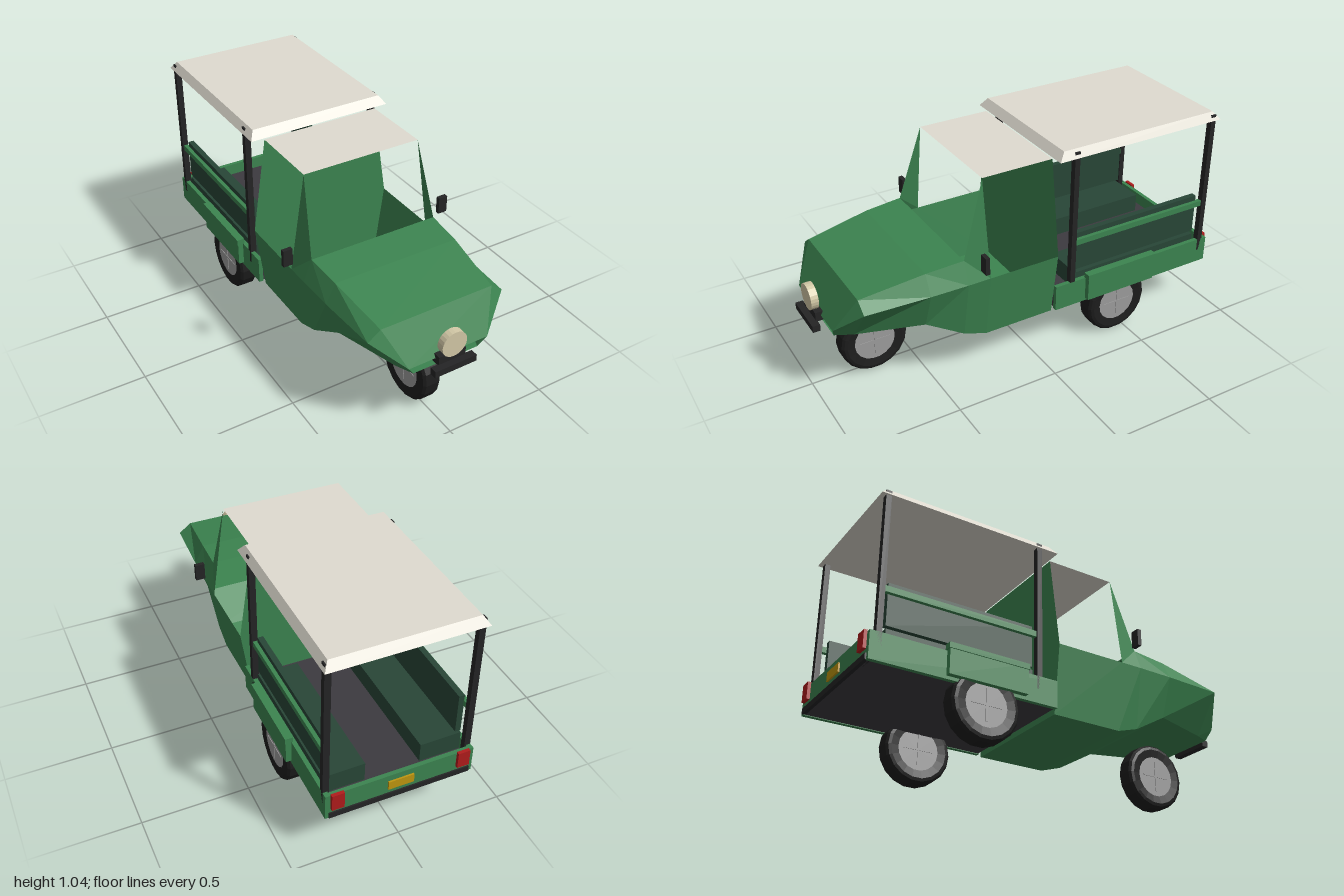
import * as THREE from 'three';

const mat = (name, color) => {
  const m = new THREE.MeshStandardMaterial({ color, flatShading: true, side: THREE.DoubleSide });
  m.name = name;
  return m;
};

export function createModel() {
  const green = mat('bodyGreen', 0x3c8450), darkGreen = mat('seatGreen', 0x284637);
  const cream = mat('roofCream', 0xdfdbd0), lamp = mat('lampCream', 0xd2c8a6);
  const black = mat('trimBlack', 0x242425), tyreMat = mat('tyreBlack', 0x1d1d1d);
  const hubMat = mat('hubGrey', 0x9c9c9c), floorMat = mat('floorGrey', 0x3c3a3f);
  const red = mat('lightRed', 0xb01c1c), yellow = mat('plateYellow', 0xbf960f);

  const model = new THREE.Group();
  model.name = 'threeWheeler';
  const add = (name, geo, m, parent = model) => {
    const mesh = new THREE.Mesh(geo, m);
    mesh.name = name;
    parent.add(mesh);
    return mesh;
  };
  // Box given by its limits on each axis
  const box = (name, m, x0, x1, y0, y1, z0, z1) => {
    const b = add(name, new THREE.BoxGeometry(x1 - x0, y1 - y0, z1 - z0), m);
    b.position.set((x0 + x1) / 2, (y0 + y1) / 2, (z0 + z1) / 2);
    return b;
  };
  const boxPair = (name, m, x0, x1, ...rest) => {
    box(name + 'Left', m, x0, x1, ...rest);
    box(name + 'Right', m, -x1, -x0, ...rest);
  };
  // Flat faceted surface from polygons
  const surface = (polys) => {
    const p = [];
    for (const poly of polys)
      for (let i = 1; i < poly.length - 1; i++) p.push(...poly[0], ...poly[i], ...poly[i + 1]);
    const g = new THREE.BufferGeometry();
    g.setAttribute('position', new THREE.Float32BufferAttribute(p, 3));
    g.computeVertexNormals();
    return g;
  };
  const flip = ([x, y, z]) => [-x, y, z];
  // Skin over stations of two points [outer, inner], mirrored across x
  const loft = (stations) => {
    const rows = stations.map(([a, b]) => [a, b, flip(b), flip(a)]);
    const polys = [];
    for (let i = 0; i < rows.length - 1; i++)
      for (let j = 0; j < 3; j++)
        polys.push([rows[i][j], rows[i + 1][j], rows[i + 1][j + 1], rows[i][j + 1]]);
    return surface(polys);
  };

  // Cab: open tub below the belt line, hood above it
  add('cabTub', loft([
    [[0.36, 0.54, -0.09], [0.315, 0.215, -0.09]],
    [[0.36, 0.54, 0.26], [0.315, 0.215, 0.26]],
    [[0.36, 0.54, 0.37], [0.31, 0.25, 0.37]],
    [[0.356, 0.54, 0.55], [0.29, 0.355, 0.55]],
    [[0.34, 0.54, 0.85], [0.2, 0.357, 0.85]],
    [[0.2, 0.41, 0.945], [0.165, 0.36, 0.93]],
  ]), green);
  add('hood', loft([
    [[0.36, 0.54, 0.37], [0.32, 0.645, 0.37]],
    [[0.356, 0.54, 0.55], [0.31, 0.632, 0.55]],
    [[0.34, 0.54, 0.85], [0.28, 0.585, 0.85]],
    [[0.2, 0.41, 0.945], [0.2, 0.41, 0.945]],
  ]), green);

  // Windscreen pillars, cab back wall and thin cab roof
  const pillar = [[0.36, 0.54, 0.26], [0.36, 0.54, 0.37], [0.32, 0.645, 0.37], [0.29, 1.003, 0.26]];
  add('windscreenPillars', surface([pillar, pillar.map(flip)]), green);
  const wall = [[0.315, 0.215, -0.09], [0.36, 0.54, -0.09], [0.29, 1.003, -0.09]];
  add('cabBackWall', surface([[...wall, ...wall.map(flip).reverse()]]), green);
  add('cabRoof', surface([[[-0.29, 1.003, 0.26], [0.29, 1.003, 0.26],
    [0.29, 1.003, -0.09], [-0.29, 1.003, -0.09]]]), cream);

  // Headlight, front bumper and mirrors
  const head = add('headlight', new THREE.CylinderGeometry(0.062, 0.062, 0.035, 24), lamp);
  head.rotation.x = Math.PI / 2;
  head.position.set(0, 0.48, 0.962);
  box('frontBumper', black, -0.105, 0.105, 0.36, 0.392, 0.965, 1);
  box('bumperBracket', black, -0.068, 0.068, 0.385, 0.43, 0.92, 0.97);
  boxPair('mirror', black, 0.385, 0.43, 0.615, 0.697, 0.303, 0.323);

  // Rear bed
  box('bedFloor', floorMat, -0.34, 0.34, 0.235, 0.3, -0.975, -0.1);
  boxPair('bedSide', green, 0.325, 0.346, 0.232, 0.36, -0.985, -0.095);
  box('tailboard', green, -0.326, 0.326, 0.25, 0.36, -0.985, -0.965);
  box('rearBumper', black, -0.33, 0.33, 0.235, 0.262, -0.992, -0.965);
  boxPair('fender', green, 0.34, 0.372, 0.247, 0.387, -0.64, -0.26);
  boxPair('fenderLip', green, 0.34, 0.377, 0.362, 0.388, -0.645, -0.255);
  boxPair('tailLight', red, 0.265, 0.322, 0.285, 0.367, -1, -0.984);
  box('numberPlate', yellow, -0.06, 0.06, 0.287, 0.33, -0.993, -0.984);

  // Benches with backrests and rails
  boxPair('bench', darkGreen, 0.13, 0.325, 0.298, 0.393, -0.91, -0.21);
  boxPair('backrest', darkGreen, 0.295, 0.322, 0.408, 0.606, -0.91, -0.21);
  boxPair('sideRail', green, 0.318, 0.34, 0.552, 0.58, -0.935, -0.19);

  // Canopy posts and tapered canopy
  for (const z of [-0.185, -0.945])
    boxPair(z > -0.5 ? 'frontPost' : 'rearPost', black, 0.317, 0.346, 0.3, 1.034, z - 0.013, z + 0.013);
  const canopyGeo = new THREE.BoxGeometry(0.71, 0.038, 0.89);
  const pos = canopyGeo.attributes.position;
  for (let i = 0; i < pos.count; i++)
    if (pos.getY(i) > 0) {
      pos.setX(i, Math.sign(pos.getX(i)) * 0.33);
      pos.setZ(i, Math.sign(pos.getZ(i)) * 0.413);
    }
  canopyGeo.computeVertexNormals();
  add('canopy', canopyGeo, cream).position.set(0, 1.028, -0.535);

  // Wheels: chamfered tyre, hub disc and crossed spokes
  const profile = [[0.1, -0.042], [0.138, -0.048], [0.152, -0.044], [0.162, -0.033],
    [0.162, 0.033], [0.152, 0.044], [0.138, 0.048], [0.1, 0.042]].map(([r, h]) => new THREE.Vector2(r, h));
  const wheel = (name, x, z) => {
    const g = new THREE.Group();
    g.name = name;
    add('tyre', new THREE.LatheGeometry(profile, 18), tyreMat, g);
    add('hub', new THREE.CylinderGeometry(0.102, 0.102, 0.084, 18), hubMat, g);
    for (const a of [0, Math.PI / 2])
      add('spoke', new THREE.BoxGeometry(0.15, 0.09, 0.008), hubMat, g).rotation.y = a;
    g.rotation.z = Math.PI / 2;
    g.position.set(x, 0.162, z);
    model.add(g);
  };
  wheel('frontWheel', 0, 0.695);
  wheel('rearWheelLeft', 0.306, -0.45);
  wheel('rearWheelRight', -0.306, -0.45);

  return model;
}
